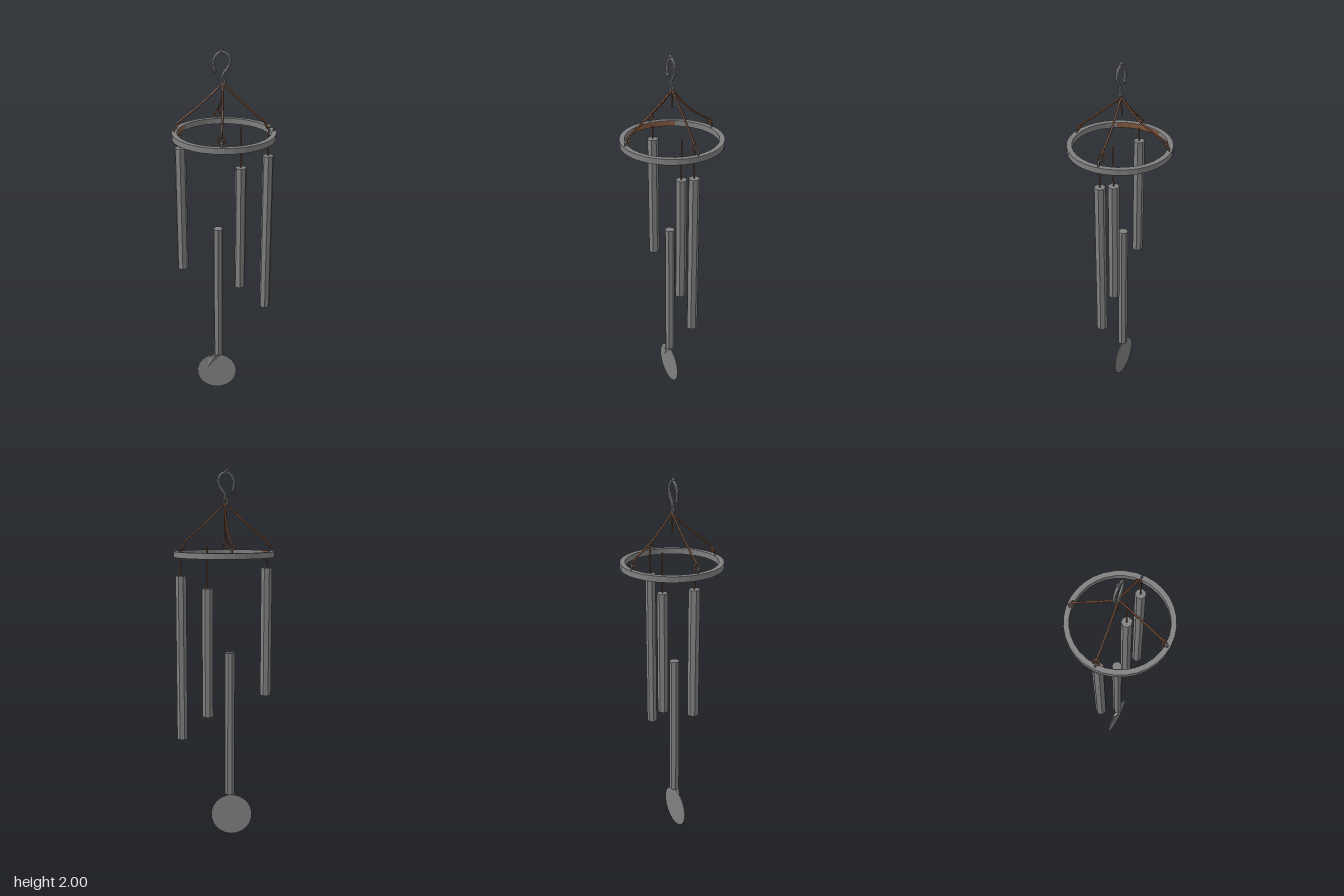
import * as THREE from 'three';
import { ConvexGeometry } from 'three/addons/geometries/ConvexGeometry.js';

const V = (x, y, z) => new THREE.Vector3(x, y, z);

export function createModel() {
  const model = new THREE.Group();
  model.name = 'windChime';

  const steel = new THREE.MeshStandardMaterial({ color: 0x808080, flatShading: true });
  steel.name = 'grey steel';
  const cord = new THREE.MeshStandardMaterial({ color: 0x83583f, flatShading: true, side: THREE.DoubleSide });
  cord.name = 'brown cord';

  function add(name, geometry, material, parent = model) {
    const mesh = new THREE.Mesh(geometry, material);
    mesh.name = name;
    parent.add(mesh);
    return mesh;
  }

  // Thin strand through a few points
  function strand(name, points, radius, material, segments = 4, sides = 5) {
    const curve = new THREE.CatmullRomCurve3(points);
    return add(name, new THREE.TubeGeometry(curve, segments, radius, sides), material);
  }

  // Ring that carries the chimes
  const outline = new THREE.Shape().absarc(0, 0, 0.267, 0, Math.PI * 2);
  outline.holes.push(new THREE.Path().absarc(0, 0, 0.24, 0, Math.PI * 2, true));
  const ringGeometry = new THREE.ExtrudeGeometry(outline, { depth: 0.03, bevelEnabled: false, curveSegments: 16 });
  ringGeometry.rotateX(-Math.PI / 2);
  add('ring', ringGeometry, steel).position.y = 1.546;

  // Worn patch inside the ring
  const patch = new THREE.CylinderGeometry(0.2375, 0.2375, 0.028, 8, 1, true, Math.PI * 1.33, Math.PI * 0.34);
  add('ringInnerPatch', patch, cord).position.y = 1.561;

  // Hook with its ball tip, crown knob and lower eye
  strand('hook', [
    V(-0.046, 1.888, 0), V(-0.053, 1.93, 0), V(-0.036, 1.967, 0), V(-0.01, 1.98, 0), V(0.018, 1.968, 0),
    V(0.029, 1.935, 0), V(0.017, 1.9, 0), V(-0.003, 1.875, 0), V(-0.008, 1.848, 0),
  ], 0.008, steel, 22, 6);
  add('hookTip', new THREE.IcosahedronGeometry(0.011), steel).position.set(-0.046, 1.888, 0);
  add('hookKnob', new THREE.IcosahedronGeometry(0.012), steel).position.set(-0.014, 1.988, 0);
  add('hookEye', new THREE.TorusGeometry(0.013, 0.006, 5, 8), steel).position.set(-0.008, 1.834, 0);

  // Four suspension cords, each with a loop and a staple on the ring
  const apex = V(-0.005, 1.825, -0.004);
  const anchors = [
    ['left', V(0.215, 1.605, -0.011), V(0.105, 1.715, -0.012)],
    ['right', V(-0.24, 1.605, 0.004), V(-0.12, 1.715, 0.001)],
    ['front', V(-0.01, 1.605, 0.237), V(-0.006, 1.715, 0.12)],
    ['back', V(-0.037, 1.605, -0.237), V(-0.01, 1.715, -0.1)],
  ];
  for (const [side, end, middle] of anchors) {
    strand(side + 'Cord', [apex, middle, end.clone().add(V(0, 0.015, 0))], 0.0055, cord);
    const loop = add(side + 'CordLoop', new THREE.TorusGeometry(0.016, 0.005, 4, 8), cord);
    loop.position.copy(end);
    loop.rotation.y = Math.atan2(end.x, end.z);
    loop.rotateX(-0.5);
    const out = V(end.x, 0, end.z).normalize();
    const foot = out.clone().multiplyScalar(0.252).setY(1.572);
    strand(side + 'Staple', [end.clone().add(V(0, -0.012, 0)), out.clone().multiplyScalar(0.252).setY(1.598), foot],
      0.005, steel);
  }
  strand('centreCord', [apex, V(-0.008, 1.78, -0.004), V(-0.01, 1.73, -0.004)], 0.004, cord, 2);

  // Chime tubes: x, z, bottom, top, radius, string top, underside material
  const chimes = [
    ['rightChime', -0.225, 0.001, 0.8, 1.49, 0.03, 1.56, cord],
    ['innerChime', 0.088, -0.008, 0.68, 1.38, 0.03, 1.6, cord],
    ['leftChime', 0.228, -0.005, 0.555, 1.447, 0.029, 1.6, steel],
    ['clapperTube', -0.032, -0.002, 0.235, 1.033, 0.027, 0, cord],
  ];
  for (const [name, x, z, bottom, top, radius, stringTop, underside] of chimes) {
    const tube = add(name, new THREE.CylinderGeometry(radius, radius, top - bottom, 7), [steel, steel, underside]);
    tube.position.set(x, (top + bottom) / 2, z);
    if (stringTop) {
      const string = add(name + 'String', new THREE.CylinderGeometry(0.004, 0.004, stringTop - top, 5), cord);
      string.position.set(x, (top + stringTop) / 2, z);
    }
  }

  // Wind sail: thin disc with a folded lip up to the clapper tube
  const disc = add('windSail', new THREE.CylinderGeometry(0.114, 0.114, 0.005, 22), steel);
  disc.rotation.x = Math.PI / 2;
  disc.position.set(-0.042, 0.114, -0.002);
  add('windSailLip', new ConvexGeometry([
    V(-0.1, 0.13, 0), V(-0.015, 0.222, 0), V(-0.09, 0.205, 0), V(-0.045, 0.237, 0.02), V(-0.045, 0.237, 0),
  ]), steel);

  return model;
}
